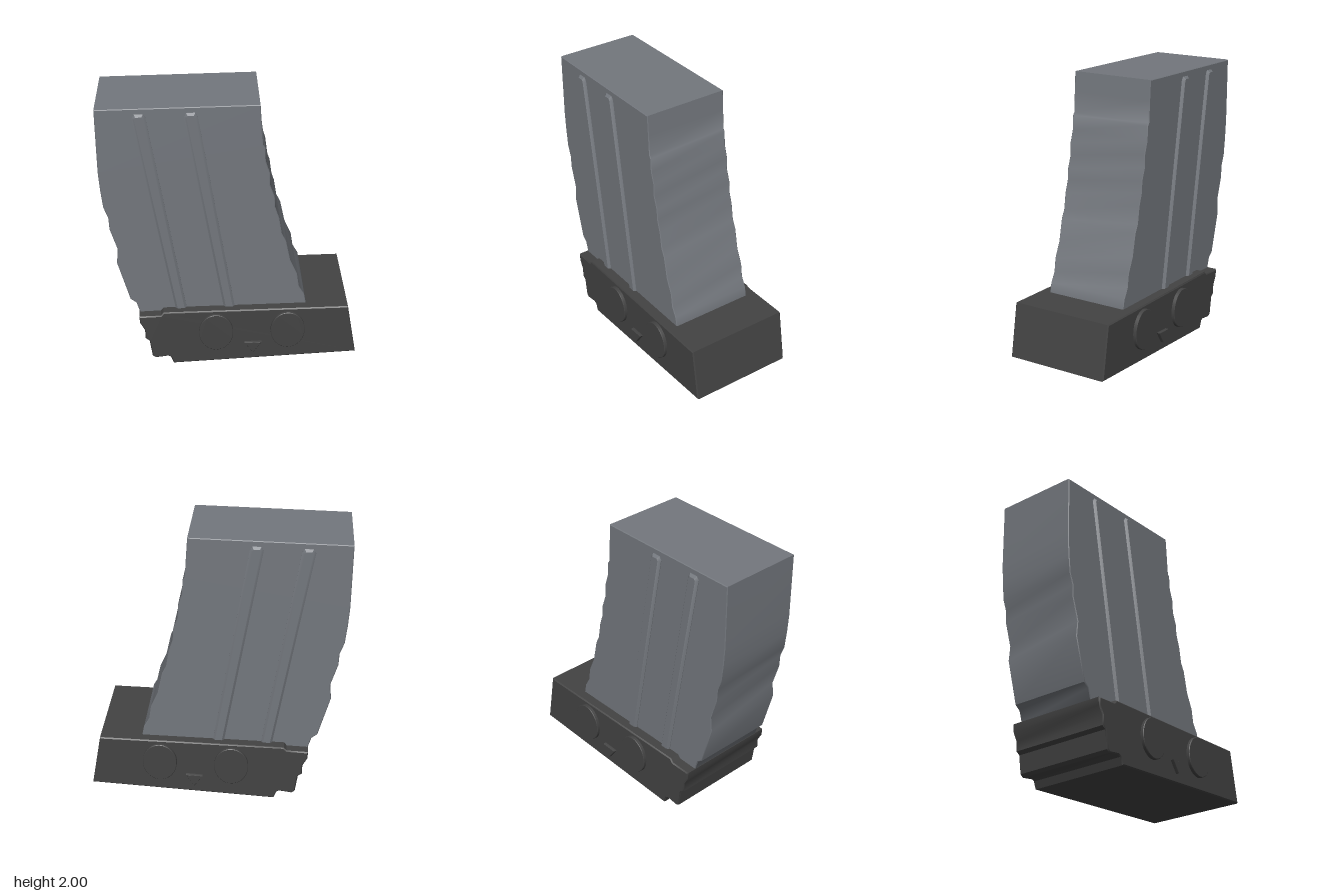
import * as THREE from 'three';
import { toCreasedNormals } from 'three/addons/utils/BufferGeometryUtils.js';

const shell = new THREE.MeshStandardMaterial({ name: 'grey shell', color: 0x73777d });
const dark = new THREE.MeshStandardMaterial({ name: 'dark base', color: 0x434343 });

const toShape = (pts) => new THREE.Shape(pts.map(([x, y]) => new THREE.Vector2(x, y)));

// Bevelled slab from a side outline, between z0 and z1; the bevel stays inside the outline
function slab(name, shape, z0, z1, bevel, material) {
  const geo = new THREE.ExtrudeGeometry(shape, {
    depth: z1 - z0 - 2 * bevel,
    bevelEnabled: bevel > 0,
    bevelSize: bevel,
    bevelThickness: bevel,
    bevelOffset: -bevel,
    bevelSegments: 1,
    curveSegments: 20,
  });
  geo.translate(0, 0, z0 + bevel);
  const mesh = new THREE.Mesh(toCreasedNormals(geo, 0.65), material);
  mesh.name = name;
  return mesh;
}

export function createModel() {
  const model = new THREE.Group();
  model.name = 'curvedBoxOnBase';

  // Tall leaning body with wavy grip edges
  const rightEdge = [
    [0.54, 0.36], [0.54, 0.46], [0.525, 0.53], [0.485, 0.6], [0.47, 0.7], [0.42, 0.81],
    [0.385, 0.97], [0.355, 1.03], [0.335, 1.15], [0.305, 1.24], [0.3, 1.32], [0.267, 1.41],
    [0.265, 1.5], [0.235, 1.59], [0.23, 1.69], [0.215, 1.71], [0.205, 1.86], [0.195, 2],
  ];
  const leftEdge = [
    [-0.91, 1.975], [-0.905, 1.52], [-0.895, 1.38], [-0.88, 1.25], [-0.85, 1.17], [-0.845, 1.08],
    [-0.795, 0.92], [-0.805, 0.81], [-0.72, 0.51], [-0.68, 0.48], [-0.655, 0.4], [-0.62, 0.36],
  ];
  model.add(slab('body', toShape([...rightEdge, ...leftEdge]), -0.31, 0.31, 0.005, shell));

  // Wide base with a stepped back end
  model.add(slab('base', toShape([
    [-0.42, 0.003], [0.905, 0.083], [0.837, 0.468], [-0.485, 0.437], [-0.505, 0.412], [-0.66, 0.405],
    [-0.655, 0.35], [-0.622, 0.29], [-0.62, 0.22], [-0.592, 0.2], [-0.573, 0.07], [-0.55, 0.052],
    [-0.46, 0.065], [-0.44, 0.055],
  ]), -0.386, 0.386, 0.008, dark));

  for (const side of [1, -1]) {
    const label = side > 0 ? 'front' : 'back';
    const plate = (name, shape, inner, outer, bevel, material) => model.add(slab(
      label + name, shape, side > 0 ? inner : -outer, side > 0 ? outer : -inner, bevel, material));

    // Pair of slanted ribs with clipped top corners
    [[-0.615, 1.945], [-0.268, 1.953]].forEach(([x, y], i) => {
      const end = x + 0.262;
      plate('Rib' + (i + 1), toShape([
        [end - 0.04, 0.4], [end + 0.04, 0.4], [x + 0.046, y - 0.025], [x + 0.03, y],
        [x - 0.03, y - 0.002], [x - 0.046, y - 0.03],
      ]), 0.27, 0.33, 0.016, shell);
    });

    // Raised oval buttons
    [[-0.11, 0.277], [0.406, 0.29]].forEach(([x, y], i) => {
      const oval = new THREE.Shape().absellipse(x, y, 0.123, 0.147, 0, Math.PI * 2, false, 0);
      plate('Button' + (i + 1), oval, 0.36, 0.41, 0.004, dark);
    });

    // Raised triangle marker
    plate('Triangle', toShape([[0.157, 0.1], [0.218, 0.192], [0.096, 0.185]]), 0.36, 0.41, 0.003, dark);
  }
  return model;
}
